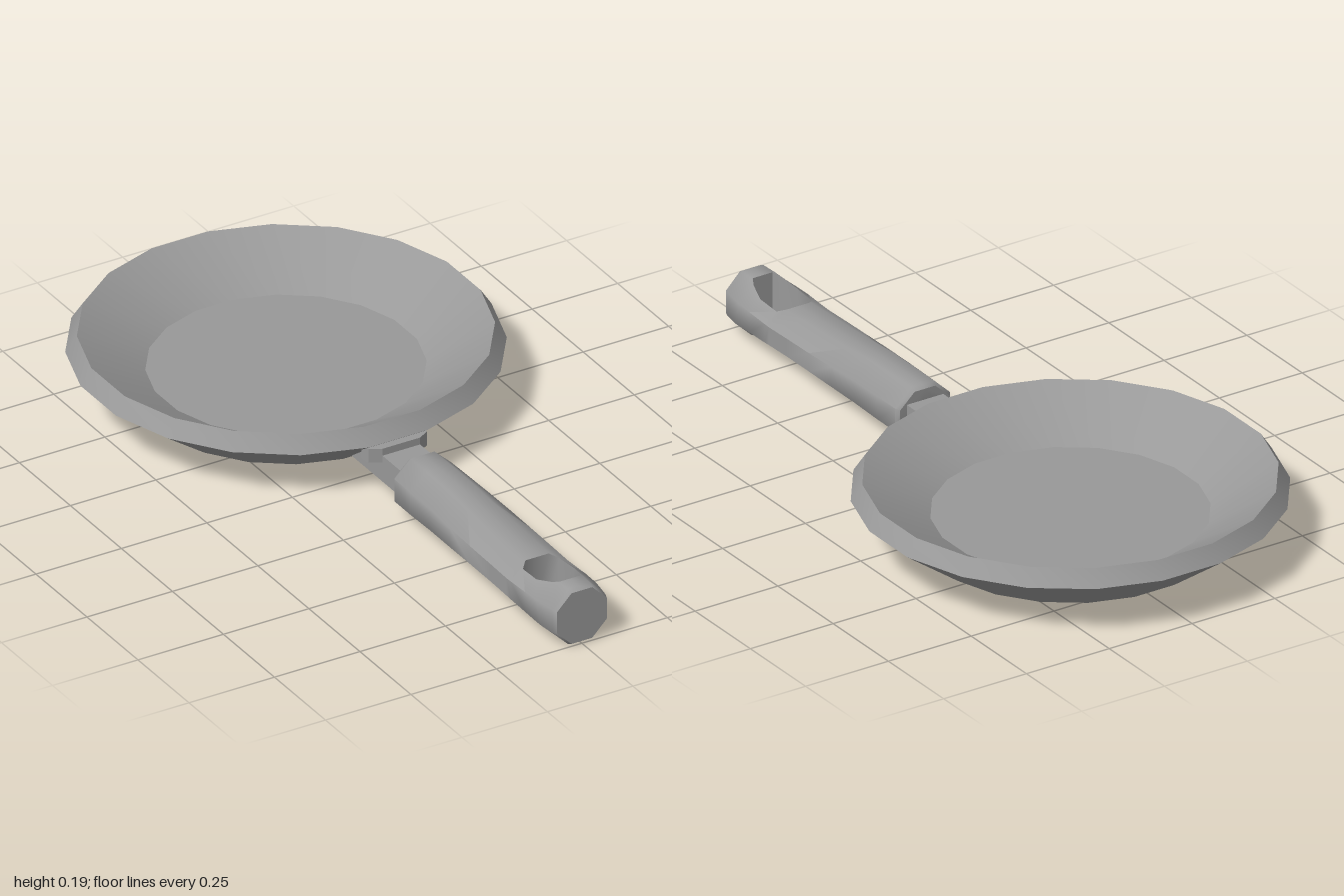
import * as THREE from 'three';
import { toCreasedNormals } from 'three/addons/utils/BufferGeometryUtils.js';

const SIDES = 20;
const PAN_Z = -0.45;

// Pan body: closed profile revolved with flats facing the axes
function panGeometry() {
  const k = 1 / Math.cos(Math.PI / SIDES);
  const profile = [[0, 0.02], [0.38, 0.02], [0.549, 0.145], [0.52, 0.19], [0.35, 0.085], [0, 0.085]]
    .map(([r, y]) => new THREE.Vector2(r * k, y));
  const geo = new THREE.LatheGeometry(profile, SIDES, Math.PI / SIDES);
  geo.translate(0, 0, PAN_Z);
  return toCreasedNormals(geo, 0.5);
}

// Flared lug where the neck joins the rim
function lugGeometry() {
  const shape = new THREE.Shape([[-0.09, 0.07], [-0.085, 0.098], [-0.055, 0.115], [0.055, 0.115], [0.085, 0.098], [0.09, 0.07]]
    .map(([x, z]) => new THREE.Vector2(x, z)));
  const geo = new THREE.ExtrudeGeometry(shape, { depth: 0.04, bevelEnabled: false });
  geo.rotateX(Math.PI / 2);
  geo.translate(0, 0.14, 0);
  return geo;
}

// Handle stations: z, half width, bottom, top, half width of the hanging hole
const STATIONS = [
  [0.208, 0.075, 0.012, 0.150, 0],
  [0.220, 0.083, 0.003, 0.158, 0],
  [0.300, 0.084, 0.004, 0.159, 0],
  [0.400, 0.085, 0.010, 0.158, 0],
  [0.500, 0.088, 0.017, 0.151, 0],
  [0.600, 0.089, 0.021, 0.146, 0],
  [0.700, 0.089, 0.022, 0.143, 0],
  [0.780, 0.089, 0.020, 0.141, 0],
  [0.780, 0.089, 0.020, 0.141, 0.034],
  [0.800, 0.089, 0.018, 0.143, 0.053],
  [0.870, 0.089, 0.013, 0.151, 0.055],
  [0.920, 0.087, 0.006, 0.156, 0.042],
  [0.942, 0.084, 0.001, 0.159, 0.030],
  [0.942, 0.084, 0.001, 0.159, 0],
  [0.985, 0.077, 0.000, 0.160, 0],
  [1.000, 0.073, 0.007, 0.154, 0],
];

// One half (x > 0) of an octagonal section, cut off at the hole edge
function halfSection([z, w, bottom, top, hole]) {
  const mid = (top + bottom) / 2, h = (top - bottom) / 2, t = Math.SQRT2 - 1;
  const cx = Math.max(t * w, hole);
  const cy = h * (1 - (1 - t) * (cx - t * w) / (w - t * w));
  return [[hole, cy], [cx, cy], [w, t * h], [w, -t * h], [cx, -cy], [hole, -cy]]
    .map(([x, y]) => new THREE.Vector3(x, mid + y, z));
}

function handleGeometry() {
  const positions = [];
  // Adds a triangle and its mirror image, skipping slivers
  const tri = (a, b, c) => {
    if (new THREE.Triangle(a, b, c).getArea() < 1e-8) return;
    for (const p of [a, b, c]) positions.push(p.x, p.y, p.z);
    for (const p of [a, c, b]) positions.push(-p.x, p.y, p.z);
  };
  const rings = STATIONS.map(halfSection);
  for (let i = 0; i < rings.length - 1; i++) {
    const A = rings[i], B = rings[i + 1];
    const open = STATIONS[i][4] > 0 || STATIONS[i + 1][4] > 0;
    // The closing strip of each loop forms the wall of the hole
    for (let j = 0; j < (open ? 6 : 5); j++) {
      const n = (j + 1) % 6;
      tri(A[j], B[j], B[n]);
      tri(A[j], B[n], A[n]);
    }
  }
  const first = rings[0], last = rings[rings.length - 1];
  for (let j = 1; j < 5; j++) {
    tri(first[0], first[j], first[j + 1]);
    tri(last[0], last[j + 1], last[j]);
  }
  const geo = new THREE.BufferGeometry();
  geo.setAttribute('position', new THREE.Float32BufferAttribute(positions, 3));
  return toCreasedNormals(geo, 0.95);
}

export function createModel() {
  const group = new THREE.Group();
  group.name = 'fryingPan';
  const grey = new THREE.MeshStandardMaterial({ color: 0x999999 });
  grey.name = 'grey';

  const add = (name, geometry) => {
    const mesh = new THREE.Mesh(geometry, grey);
    mesh.name = name;
    group.add(mesh);
  };

  add('panBody', panGeometry());
  add('neckLug', lugGeometry());

  // Flat neck between pan and grip
  const neck = new THREE.BoxGeometry(0.11, 0.075, 0.266);
  neck.translate(0, 0.0825, 0.097);
  add('neck', neck);

  add('handle', handleGeometry());
  return group;
}
